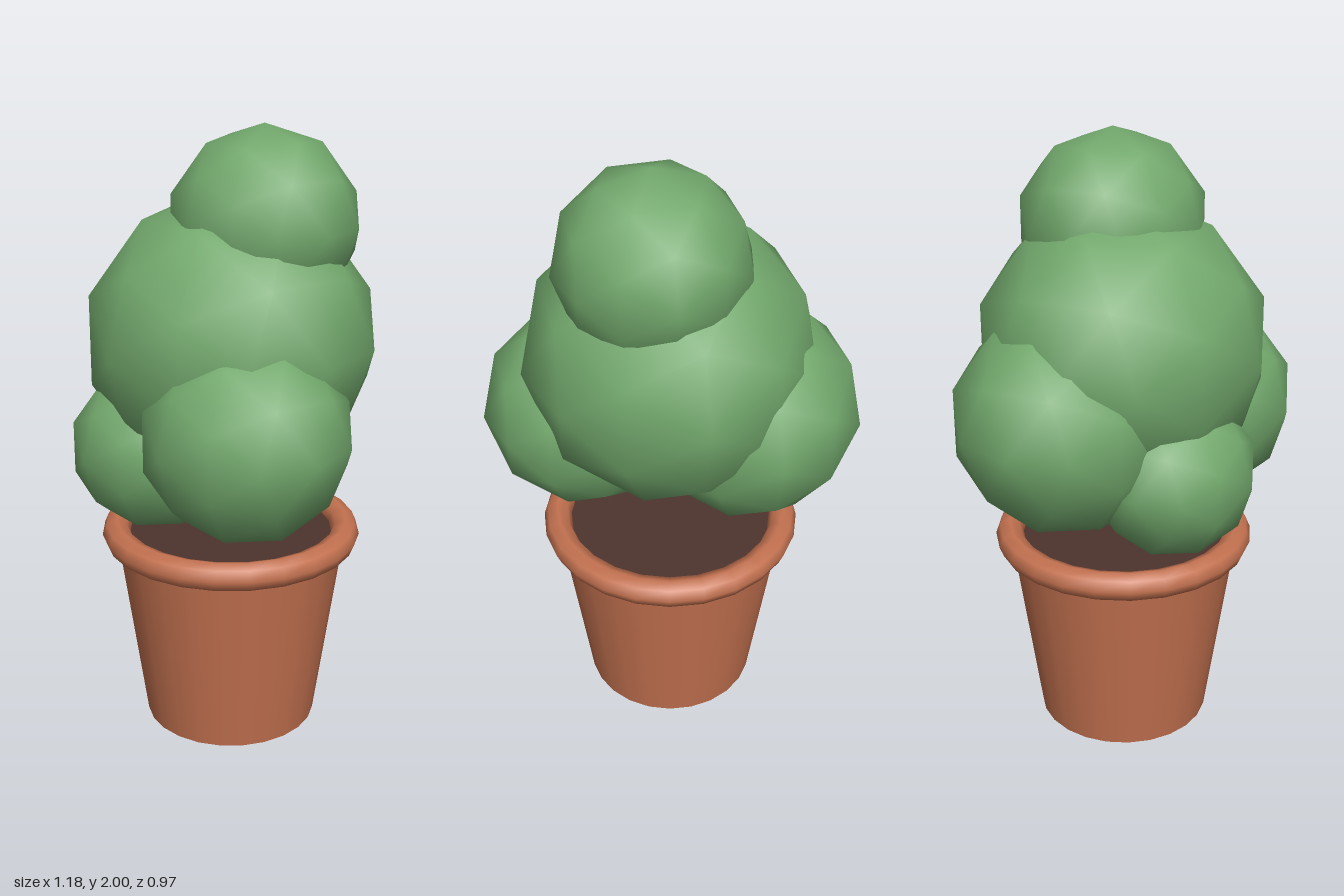
import * as THREE from 'three';

const terracotta = new THREE.MeshStandardMaterial({ color: 0xc47250 });
terracotta.name = 'terracotta';
const soilBrown = new THREE.MeshStandardMaterial({ color: 0x4e342e });
soilBrown.name = 'soil brown';
const leafGreen = new THREE.MeshStandardMaterial({ color: 0x72a86c });
leafGreen.name = 'leaf green';

const POT_HEIGHT = 0.667;
const POT_TOP = 0.382;

function addMesh(parent, name, geometry, material, x, y, z) {
  const mesh = new THREE.Mesh(geometry, material);
  mesh.name = name;
  mesh.position.set(x, y, z);
  parent.add(mesh);
  return mesh;
}

// Tapered pot with a rounded rim and a thin layer of soil
function createPot() {
  const pot = new THREE.Group();
  pot.name = 'pot';
  addMesh(pot, 'potBody', new THREE.CylinderGeometry(POT_TOP, 0.288, POT_HEIGHT, 24),
    terracotta, 0, POT_HEIGHT / 2, 0);
  const rim = addMesh(pot, 'potRim', new THREE.TorusGeometry(POT_TOP, 0.047, 8, 24),
    terracotta, 0, POT_HEIGHT, 0);
  rim.rotation.x = Math.PI / 2;
  addMesh(pot, 'soil', new THREE.CylinderGeometry(0.36, 0.36, 0.006, 24),
    soilBrown, 0, POT_HEIGHT, 0);
  pot.position.set(0.005, 0, -0.015);
  return pot;
}

// Overlapping leafy clumps: name, radius, centre
const CLUMPS = [
  ['mainFoliage', 0.47, 0.005, 1.33, -0.015],
  ['topFoliage', 0.303, 0.077, 1.697, -0.087],
  ['rightFoliage', 0.36, -0.23, 1.143, -0.1],
  ['leftFoliage', 0.333, 0.255, 1.09, 0.122],
  ['frontFoliage', 0.273, -0.107, 0.983, 0.21],
];

function createFoliage() {
  const foliage = new THREE.Group();
  foliage.name = 'foliage';
  for (const [name, radius, x, y, z] of CLUMPS) {
    addMesh(foliage, name, new THREE.IcosahedronGeometry(radius, 1), leafGreen, x, y, z);
  }
  return foliage;
}

export function createModel() {
  const model = new THREE.Group();
  model.name = 'pottedBush';
  model.add(createPot(), createFoliage());
  return model;
}
